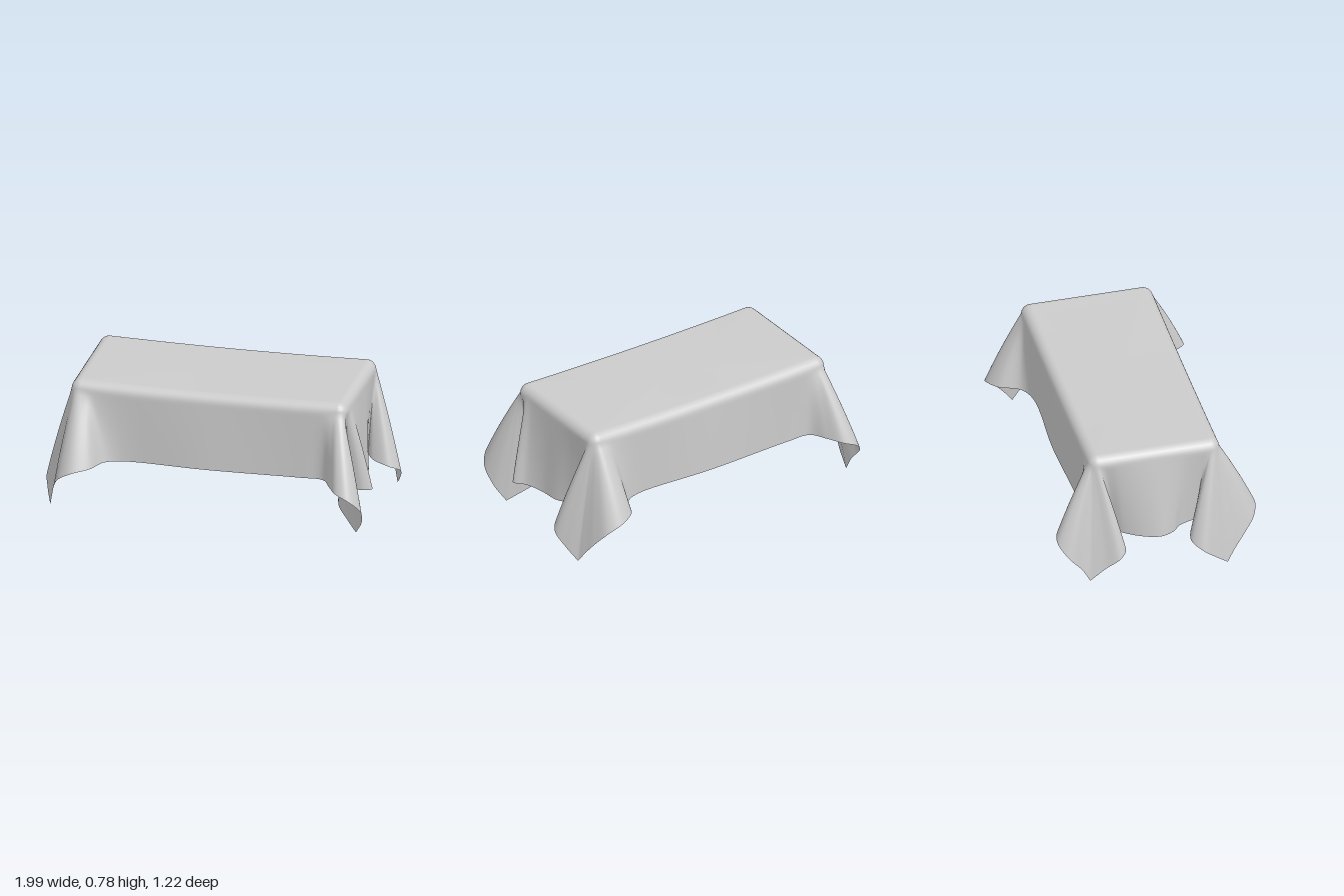
import * as THREE from 'three';

const HX = 0.768, HZ = 0.335, R = 0.06, TOP = 0.784; // flat top half sizes, rim radius, height
const PER_EDGE = 110, ARC = 6, DROP = 22;

// Control points along each cloth edge, tip to tip: hem x, y, z, then rim x, z.
const bigTip = [0.94, 0.005, 0.405, 0.81, 0.37];
const tipA = [0.89, 0.005, 0.405, 0.81, 0.37];
const tipB = [0.94, 0.015, 0.42, 0.81, 0.37];

const longEdge = (tip) => [
  [-bigTip[0], bigTip[1], bigTip[2], -bigTip[3], bigTip[4]],
  [-0.92, 0.075, 0.452, -0.805, 0.376],
  [-0.895, 0.155, 0.515, -0.80, 0.38],
  [-0.85, 0.24, 0.585, -0.79, 0.387],
  [-0.77, 0.29, 0.61, -0.78, 0.39],
  [-0.67, 0.31, 0.56, -0.745, 0.39],
  [-0.61, 0.312, 0.44, -0.69, 0.39],
  [-0.51, 0.31, 0.392, -0.54, 0.39],
  [0, 0.31, 0.405, 0, 0.39],
  [0.55, 0.31, 0.39, 0.55, 0.39],
  [0.69, 0.315, 0.405, 0.68, 0.39],
  [0.75, 0.315, 0.50, 0.745, 0.39],
  [0.81, 0.305, 0.585, 0.77, 0.39],
  [0.885, 0.275, 0.602, 0.785, 0.388],
  [0.948, 0.20, 0.55, 0.80, 0.38],
  [0.94, 0.10, 0.468, 0.805, 0.375],
  tip,
];

// Where a short edge tucks in under the big fold
const shortEnd = [
  [0.82, 0.23, -0.15, 0.82, -0.21],
  [0.80, 0.235, -0.25, 0.82, -0.29],
  [0.835, 0.215, -0.215, 0.82, -0.325],
  [0.935, 0.19, -0.188, 0.82, -0.343],
  [0.995, 0.148, -0.245, 0.817, -0.357],
  [0.975, 0.075, -0.328, 0.813, -0.365],
  [bigTip[0], bigTip[1], -bigTip[2], bigTip[3], -bigTip[4]],
];

const shortEdgeA = [
  tipA,
  [0.825, 0.06, 0.355, 0.812, 0.365],
  [0.758, 0.125, 0.295, 0.815, 0.36],
  [0.75, 0.21, 0.19, 0.818, 0.35],
  [0.80, 0.225, 0.26, 0.82, 0.33],
  [0.90, 0.225, 0.287, 0.82, 0.305],
  [0.95, 0.222, 0.25, 0.82, 0.285],
  [0.905, 0.225, 0.18, 0.82, 0.23],
  [0.87, 0.222, 0.07, 0.82, 0.10],
  [0.855, 0.22, -0.05, 0.82, -0.07],
  ...shortEnd,
];

const shortEdgeB = [
  tipB,
  [0.955, 0.095, 0.33, 0.813, 0.363],
  [0.978, 0.165, 0.245, 0.818, 0.35],
  [0.94, 0.20, 0.205, 0.82, 0.34],
  [0.84, 0.215, 0.24, 0.82, 0.325],
  [0.75, 0.23, 0.25, 0.82, 0.29],
  [0.805, 0.225, 0.19, 0.82, 0.22],
  [0.865, 0.22, 0.08, 0.82, 0.09],
  [0.89, 0.22, -0.02, 0.82, -0.03],
  [0.862, 0.222, -0.10, 0.82, -0.13],
  ...shortEnd,
];

// One column of points: flat top border, rounded rim, then a slightly bulging fall to the hem
function column(hem, rim) {
  const inner = new THREE.Vector3(
    THREE.MathUtils.clamp(rim.x, -HX, HX), TOP, THREE.MathUtils.clamp(rim.z, -HZ, HZ));
  const out = new THREE.Vector3(rim.x - inner.x, 0, rim.z - inner.z).normalize();
  // the long borders sag a little between the corners
  inner.y -= 0.01 * (1 - (inner.x / HX) ** 2);
  const points = [];
  for (let i = 0; i <= ARC; i++) {
    const a = (i / ARC) * Math.PI / 2;
    const p = inner.clone().addScaledVector(out, R * Math.sin(a));
    p.y -= R * (1 - Math.cos(a));
    points.push(p);
  }
  const edge = points[ARC];
  for (let i = 1; i <= DROP; i++) {
    const t = i / DROP, w = t + 0.16 * t * (1 - t);
    const p = edge.clone().lerp(hem, w);
    p.y = THREE.MathUtils.lerp(edge.y, hem.y, t);
    points.push(p);
  }
  return points;
}

function clothGeometry() {
  const columns = [];
  const addEdge = (rows, s) => {
    const hem = new THREE.CatmullRomCurve3(rows.map((r) => new THREE.Vector3(s * r[0], r[1], s * r[2])));
    const rim = new THREE.CatmullRomCurve3(rows.map((r) => new THREE.Vector3(s * r[3], 0, s * r[4])));
    for (let i = 0; i < PER_EDGE; i++) {
      columns.push(column(hem.getPoint(i / PER_EDGE), rim.getPoint(i / PER_EDGE)));
    }
  };
  // front, left end, back, right end
  addEdge(longEdge(tipA), 1);
  addEdge(shortEdgeA, 1);
  addEdge(longEdge(tipB), -1);
  addEdge(shortEdgeB, -1);

  const positions = [0, TOP - 0.01, 0];
  const index = [];
  const rows = ARC + DROP + 1, n = columns.length;
  columns.forEach((points) => points.forEach((p) => positions.push(p.x, p.y, p.z)));
  for (let c = 0; c < n; c++) {
    const a = 1 + c * rows, b = 1 + ((c + 1) % n) * rows;
    index.push(0, a, b); // flat top
    for (let r = 0; r < rows - 1; r++) {
      index.push(a + r, a + r + 1, b + r + 1, a + r, b + r + 1, b + r);
    }
  }
  const geometry = new THREE.BufferGeometry();
  geometry.setAttribute('position', new THREE.Float32BufferAttribute(positions, 3));
  geometry.setIndex(index);
  geometry.computeVertexNormals();
  return geometry;
}

export function createModel() {
  const group = new THREE.Group();
  group.name = 'tablecloth';
  const material = new THREE.MeshStandardMaterial({ color: 0xcccccc, side: THREE.DoubleSide });
  const cloth = new THREE.Mesh(clothGeometry(), material);
  cloth.name = 'drapedCloth';
  group.add(cloth);
  return group;
}
